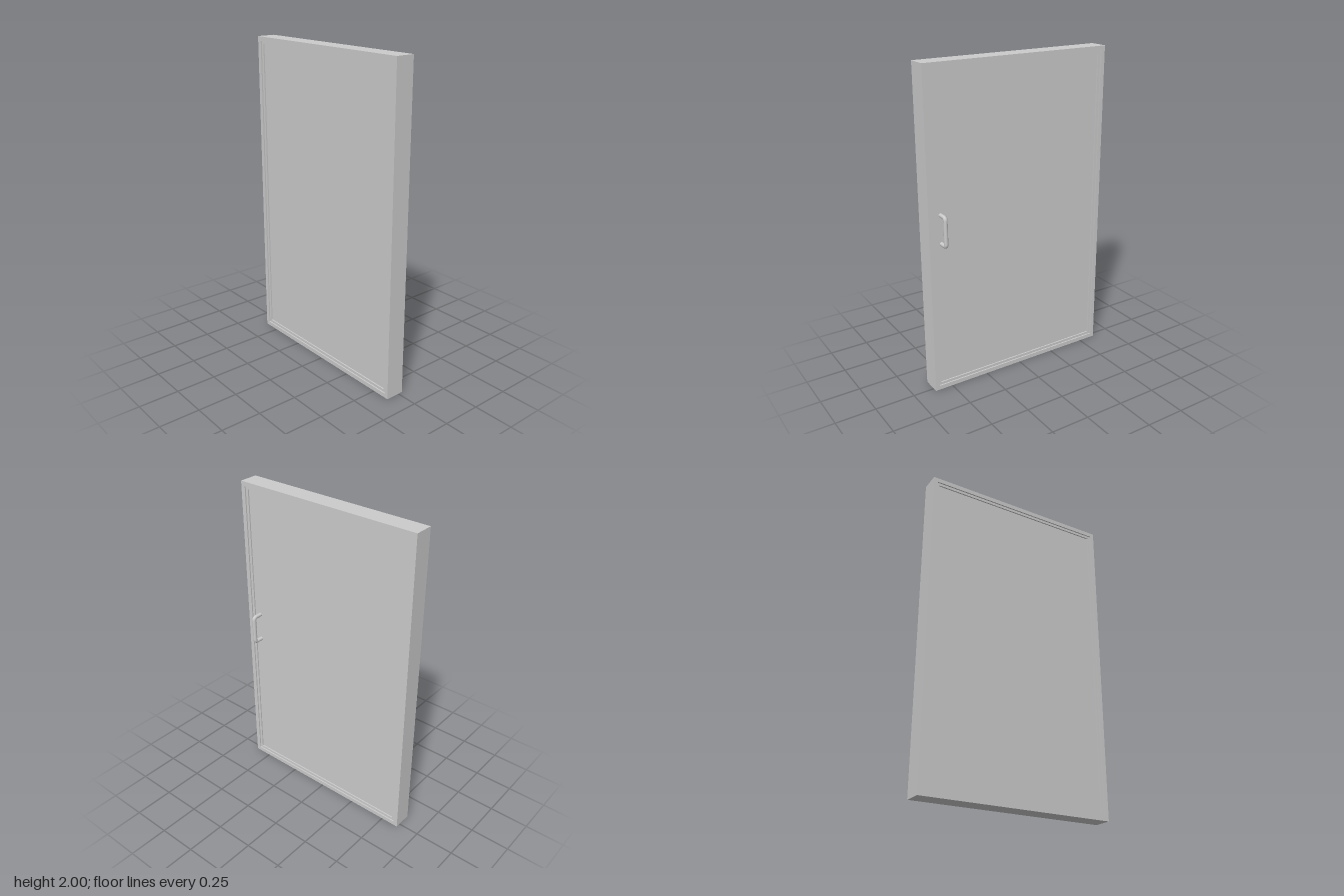
import * as THREE from 'three';

const WIDTH = 1.23, HEIGHT = 2, CENTER_X = -0.03;
const material = new THREE.MeshStandardMaterial({ color: 0xcccccc });

// Rectangle of the door face, shrunk by an inset on every side
function rect(PathType, inset) {
  const w = WIDTH / 2 - inset, top = HEIGHT - inset;
  return new PathType([
    new THREE.Vector2(-w, inset), new THREE.Vector2(w, inset),
    new THREE.Vector2(w, top), new THREE.Vector2(-w, top),
  ]);
}

// Rectangular ring between two insets, extruded across the door's thickness
function ring(name, outer, inner, depth) {
  const shape = rect(THREE.Shape, outer);
  shape.holes.push(rect(THREE.Path, inner));
  const geometry = new THREE.ExtrudeGeometry(shape, { depth, bevelEnabled: false });
  geometry.translate(0, 0, -depth / 2).rotateY(Math.PI / 2).translate(CENTER_X, 0, 0);
  const mesh = new THREE.Mesh(geometry, material);
  mesh.name = name;
  return mesh;
}

export function createModel() {
  const group = new THREE.Group();
  group.name = 'door';

  // Outer frame and the thinner stepped lip inside it
  group.add(ring('frame', 0, 0.027, 0.12));
  group.add(ring('innerLip', 0.027, 0.044, 0.104));

  // Recessed panel, seen from both sides
  const panel = new THREE.Mesh(
    new THREE.BoxGeometry(0.088, HEIGHT - 0.088, WIDTH - 0.088), material);
  panel.name = 'panel';
  panel.position.set(CENTER_X, HEIGHT / 2, 0);
  group.add(panel);

  // Pull handle: a bar with two legs and rounded corners
  const base = 0.01, reach = 0.073, low = 0.957, high = 1.134, r = 0.018, z = 0.53;
  const p = (x, y) => new THREE.Vector3(x, y, z);
  const path = new THREE.CurvePath();
  path.add(new THREE.LineCurve3(p(base, low), p(reach - r, low)));
  path.add(new THREE.QuadraticBezierCurve3(p(reach - r, low), p(reach, low), p(reach, low + r)));
  path.add(new THREE.LineCurve3(p(reach, low + r), p(reach, high - r)));
  path.add(new THREE.QuadraticBezierCurve3(p(reach, high - r), p(reach, high), p(reach - r, high)));
  path.add(new THREE.LineCurve3(p(reach - r, high), p(base, high)));
  const handle = new THREE.Mesh(new THREE.TubeGeometry(path, 64, 0.0125, 12), material);
  handle.name = 'handle';
  group.add(handle);

  return group;
}
